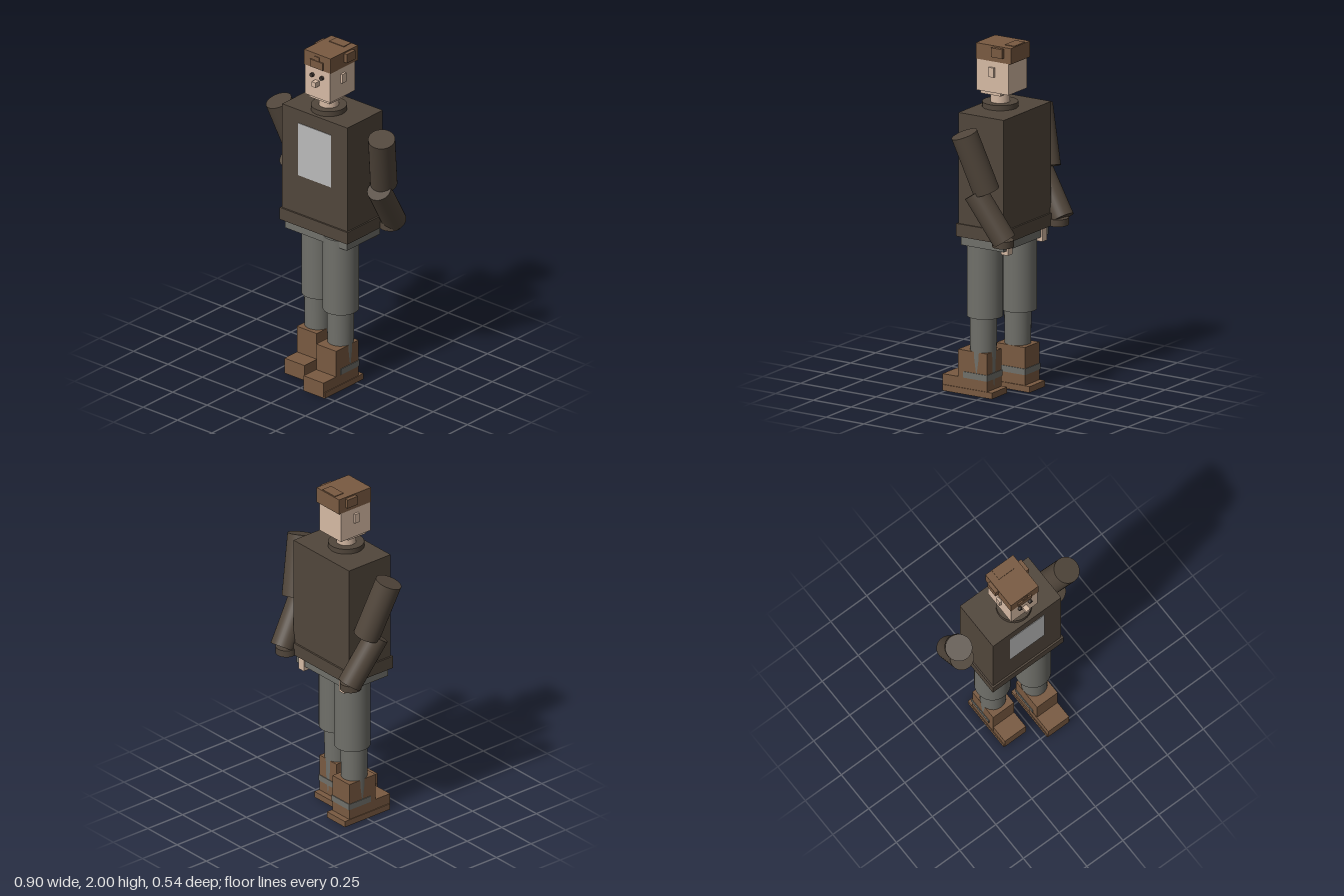
import * as THREE from 'three';

function mat(name, color) {
  const m = new THREE.MeshStandardMaterial({ color });
  m.name = name;
  return m;
}

export function createModel() {
  const coat = mat('dark coat', 0x51463b);
  const trousers = mat('grey trousers', 0x70706a);
  const leather = mat('brown leather', 0x795a41);
  const skin = mat('skin', 0xd6baa4);
  const panel = mat('light panel', 0xbababa);
  const dark = mat('eye dark', 0x3a322d);

  const root = new THREE.Group();
  root.name = 'figure';
  const group = (name) => {
    const g = new THREE.Group();
    g.name = name;
    root.add(g);
    return g;
  };
  const add = (parent, name, geo, material) => {
    const m = new THREE.Mesh(geo, material);
    m.name = name;
    parent.add(m);
    return m;
  };
  // Box given by its extents on each axis
  const box = (parent, name, material, [x0, x1], [y0, y1], [z0, z1]) => {
    const m = add(parent, name, new THREE.BoxGeometry(Math.abs(x1 - x0), y1 - y0, z1 - z0), material);
    m.position.set((x0 + x1) / 2, (y0 + y1) / 2, (z0 + z1) / 2);
    return m;
  };
  // Cylinder running between two points, a at the top
  const rod = (parent, name, material, a, b, rTop, rBottom = rTop) => {
    const top = new THREE.Vector3(...a), bottom = new THREE.Vector3(...b);
    const dir = top.clone().sub(bottom);
    const m = add(parent, name, new THREE.CylinderGeometry(rTop, rBottom, dir.length(), 32), material);
    m.position.copy(top).add(bottom).multiplyScalar(0.5);
    m.quaternion.setFromUnitVectors(new THREE.Vector3(0, 1, 0), dir.normalize());
    return m;
  };

  // Torso
  const body = group('body');
  box(body, 'torso', coat, [-0.237, 0.237], [0.95, 1.625], [-0.17, 0.13]);
  box(body, 'coatHem', coat, [-0.246, 0.246], [0.917, 0.99], [-0.18, 0.14]);
  box(body, 'chestPanel', panel, [-0.12, 0.12], [1.225, 1.545], [0.128, 0.133]);
  rod(body, 'collar', coat, [0, 1.655, 0.01], [0, 1.62, 0.01], 0.1);
  box(body, 'pelvis', trousers, [-0.225, 0.225], [0.865, 0.92], [-0.16, 0.12]);

  // Head and cap
  const head = group('head');
  rod(head, 'neck', skin, [0, 1.73, 0.01], [0, 1.65, 0.01], 0.055);
  box(head, 'jaw', skin, [-0.075, 0.075], [1.705, 1.73], [-0.04, 0.09]);
  box(head, 'face', skin, [-0.092, 0.092], [1.725, 1.91], [-0.105, 0.106]);
  box(head, 'nose', skin, [-0.014, 0.014], [1.805, 1.835], [0.1, 0.14]);
  box(head, 'cap', leather, [-0.096, 0.096], [1.905, 1.996], [-0.123, 0.108]);
  box(head, 'capTopPatch', leather, [-0.054, 0.052], [1.96, 2], [-0.118, -0.055]);
  box(head, 'capFrontFlap', leather, [-0.047, 0.046], [1.91, 1.955], [0.1, 0.116]);
  box(head, 'capFrontClip', leather, [-0.017, 0.017], [1.95, 1.98], [0.1, 0.113]);
  for (const s of [-1, 1]) {
    box(head, 'ear', skin, [s * 0.09, s * 0.105], [1.815, 1.87], [-0.015, 0.018]);
    rod(head, 'eye', dark, [s * 0.035, 1.86, 0.12], [s * 0.035, 1.86, 0.1], 0.012);
    box(head, 'capSidePatch', leather, [s * 0.09, s * 0.117], [1.935, 1.988], [-0.078, -0.006]);
  }

  // Arms, swept behind the back
  for (const s of [-1, 1]) {
    const arm = group(s > 0 ? 'leftArm' : 'rightArm');
    rod(arm, 'upperArm', coat, [s * 0.375, 1.553, 0], [s * 0.305, 1.225, -0.1], 0.075);
    rod(arm, 'forearm', coat, [s * 0.322, 1.21, -0.04], [s * 0.287, 0.95, -0.21], 0.068);
    rod(arm, 'cuff', coat, [s * 0.275, 0.955, -0.19], [s * 0.275, 0.915, -0.19], 0.06);
    box(arm, 'hand', skin, [s * 0.15, s * 0.195], [0.84, 0.93], [-0.17, -0.125]);
  }

  // Legs and boots, left one a step ahead
  for (const s of [-1, 1]) {
    const leg = group(s > 0 ? 'leftLeg' : 'rightLeg');
    const dz = s > 0 ? 0 : -0.1;
    const thighZ = s > 0 ? 0.037 : -0.04;
    const shinZ = s > 0 ? 0.045 : -0.03;
    rod(leg, 'thigh', trousers, [s * 0.111, 0.905, thighZ], [s * 0.111, 0.45, thighZ], 0.101);
    rod(leg, 'shin', trousers, [s * 0.115, 0.47, shinZ], [s * 0.115, 0.04, shinZ], 0.076, 0.07);
    box(leg, 'bootShaft', leather, [s * 0.042, s * 0.186], [0.03, 0.252], [-0.025 + dz, 0.165 + dz]);
    box(leg, 'bootToe', leather, [s * 0.04, s * 0.185], [0.01, 0.095], [0.1 + dz, 0.27 + dz]);
    box(leg, 'bootSole', leather, [s * 0.036, s * 0.19], [0, 0.035], [-0.06 + dz, 0.265 + dz]);
    box(leg, 'bootStrap', trousers, [s * 0.038, s * 0.19], [0.095, 0.13], [-0.029 + dz, 0.13 + dz]);
  }
  return root;
}
